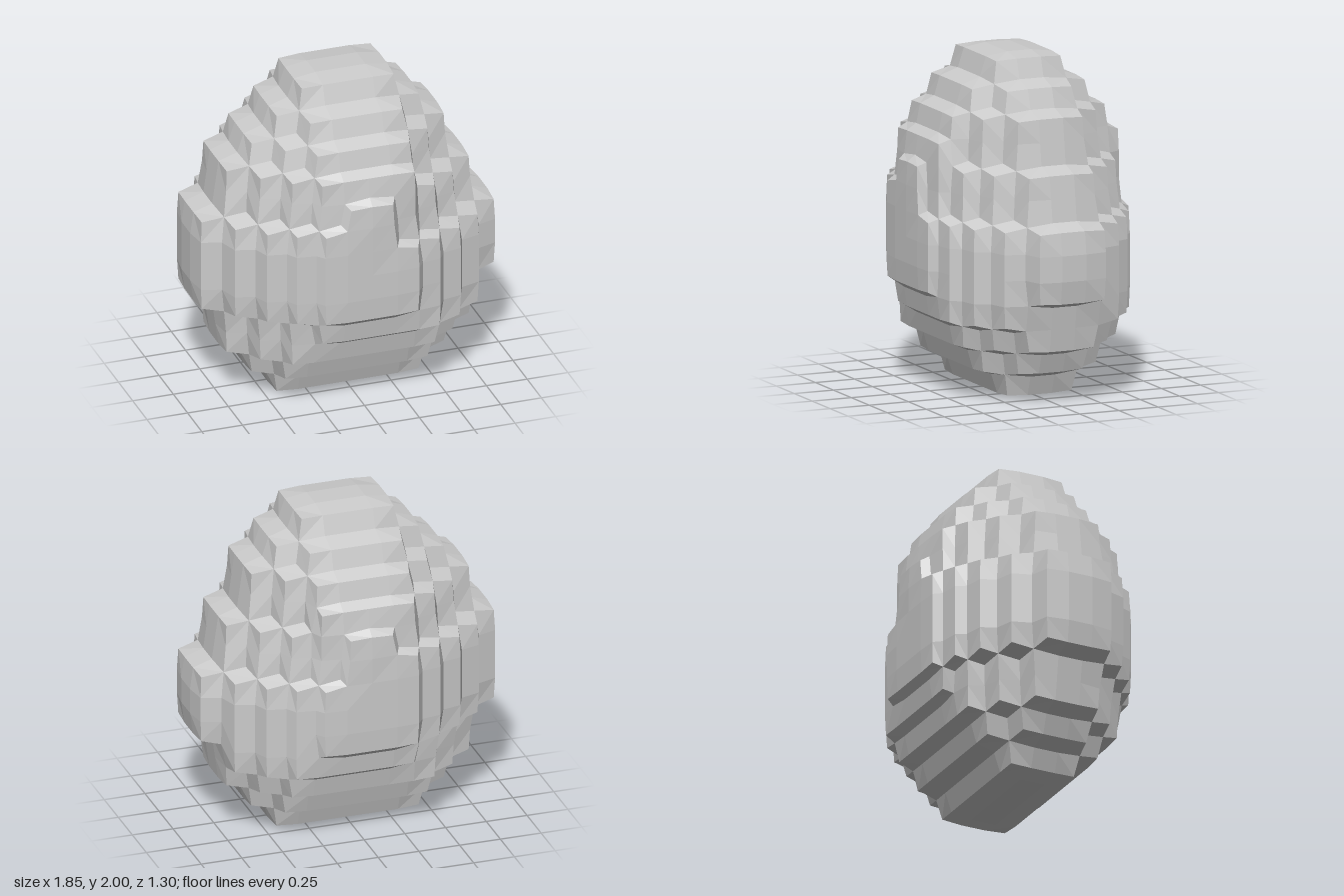
import * as THREE from 'three';

const S = 2 / 13; // block size
const Z = [-0.65, -0.585, -0.505, -0.385, -0.23, -0.077, 0.077, 0.23, 0.385, 0.505, 0.585, 0.65];

// Outline of each depth layer, middle to outermost: first row, then [left, right] per row
const LAYERS = [
  [0, [[-3, 3], [-4, 4], [-5, 5], [-5, 5], [-6, 6], [-6, 6], [-6, 6], [-6, 5], [-5, 5], [-5, 4], [-4, 4], [-3, 3], [-2, 2]]],
  [1, [[-3, 3], [-4, 4], [-4, 5], [-5, 5], [-5, 5], [-5, 5], [-5, 4], [-4, 4], [-4, 3], [-3, 3], [-2, 2]]],
  [2, [[-3, 3], [-3, 4], [-4, 4], [-4, 4], [-4, 4], [-4, 3], [-3, 3], [-3, 2], [-2, 2]]],
  [3, [[-2, 3], [-3, 3], [-3, 3], [-3, 3], [-3, 2], [-2, 2], [-2, 2]]],
  [4, [[-2, 2], [-2, 2], [-2, 2], [-2, 1], [-1, 1]]],
];

function filled(i, j, k) {
  const layer = LAYERS[Math.max(0, Math.abs(k - 5) - 1)];
  const row = layer && layer[1][j - layer[0]];
  return !!row && i >= row[0] && i < row[1];
}

// Exposed block faces as quads over shared grid points
function blockSurface() {
  const points = [], links = [], ids = new Map(), quads = [];
  const point = (c) => {
    const key = c.join();
    if (!ids.has(key)) {
      ids.set(key, points.length);
      points.push(new THREE.Vector3(c[0] * S, c[1] * S, Z[c[2]]));
      links.push(new Set());
    }
    return ids.get(key);
  };
  for (let i = -6; i < 6; i++) for (let j = 0; j < 13; j++) for (let k = 0; k < 11; k++) {
    if (!filled(i, j, k)) continue;
    for (let axis = 0; axis < 3; axis++) for (const side of [0, 1]) {
      const next = [i, j, k];
      next[axis] += side ? 1 : -1;
      if (filled(...next)) continue;
      const quad = [[0, 0], [1, 0], [1, 1], [0, 1]].map(([u, v]) => {
        const c = [i, j, k];
        c[axis] += side;
        c[(axis + 1) % 3] += u;
        c[(axis + 2) % 3] += v;
        return point(c);
      });
      if (!side) quad.reverse();
      quad.forEach((a, n) => {
        const b = quad[(n + 1) % 4];
        links[a].add(b);
        links[b].add(a);
      });
      quads.push(quad);
    }
  }
  return { points, links, quads };
}

export function createModel() {
  const { points, links, quads } = blockSurface();

  // Ease each point halfway towards its neighbours, so ledges slope
  const eased = points.map((p, n) => {
    const mean = new THREE.Vector3();
    links[n].forEach((m) => mean.add(points[m]));
    return mean.divideScalar(links[n].size).lerp(p, 0.5);
  });

  const geometry = new THREE.BufferGeometry().setFromPoints(eased);
  geometry.setIndex(quads.flatMap(([a, b, c, d]) => [a, b, c, a, c, d]));
  const flat = geometry.toNonIndexed();
  flat.computeVertexNormals();

  const boulder = new THREE.Mesh(flat, new THREE.MeshStandardMaterial({ color: 0xcccccc, flatShading: true }));
  boulder.name = 'steppedBoulder';
  const group = new THREE.Group();
  group.name = 'boulder';
  group.add(boulder);
  return group;
}
